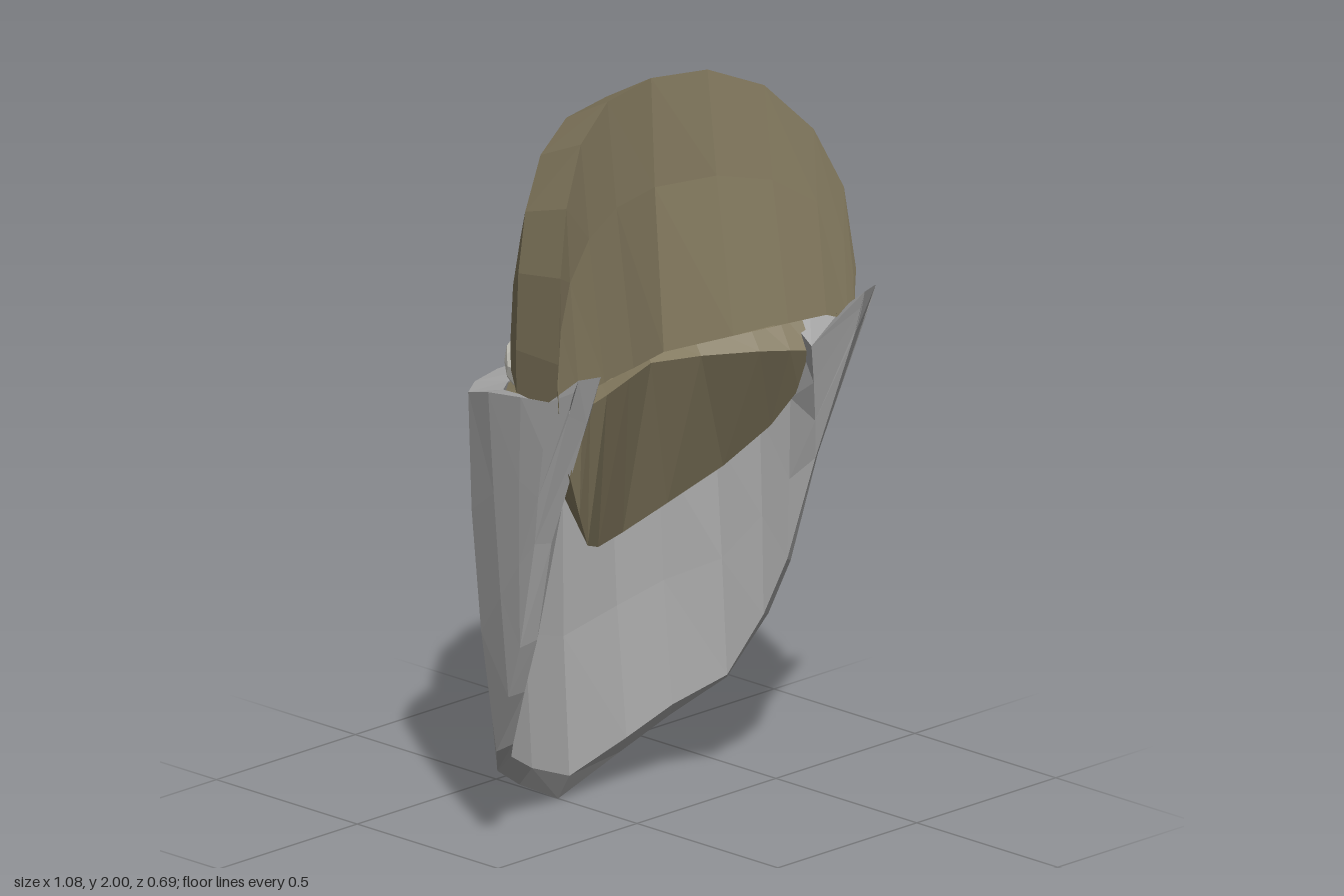
import * as THREE from 'three';

const flat = (name, color) => new THREE.MeshStandardMaterial({ name, color, flatShading: true, side: THREE.DoubleSide });

// Skin between rows of points; columns run left to right, rows run downwards.
function loft(...rows) {
  const pos = [];
  for (let i = 0; i < rows.length - 1; i++) {
    for (let j = 0; j < rows[i].length - 1; j++) {
      const a = rows[i][j], b = rows[i][j + 1], c = rows[i + 1][j + 1], d = rows[i + 1][j];
      pos.push(...a, ...d, ...c, ...a, ...c, ...b);
    }
  }
  const g = new THREE.BufferGeometry();
  g.setAttribute('position', new THREE.Float32BufferAttribute(pos, 3));
  g.computeVertexNormals();
  return g;
}

// Half a row, from the middle outwards, mirrored into a full row.
const mirror = (half) => [...half.slice(1).reverse().map(([x, y, z]) => [-x, y, z]), ...half];
const mix = (A, B, t, f = (p) => p) => A.map((a, i) => f(a.map((v, k) => v + (B[i][k] - v) * t)));

export function createModel() {
  const model = new THREE.Group();
  const brown = flat('brown hide', 0x847a5f);
  const grey = flat('grey plate', 0xaaaaaa);
  const orange = flat('orange paint', 0xcb6d31);
  const tan = flat('tan gem', 0xc9a769);
  const dark = flat('dark brown frame', 0x7a6a4c);
  const white = flat('pale eye', 0xdad8ce);
  const add = (name, geometry, material, parent = model) => {
    const mesh = new THREE.Mesh(geometry, material);
    mesh.name = name;
    parent.add(mesh);
    return mesh;
  };

  // Head: concave front, domed back
  const bend = (x) => (x / 0.535) ** 2;
  const rim = mirror([[0, 2], [0.18, 1.985], [0.33, 1.92], [0.445, 1.79], [0.51, 1.63], [0.535, 1.41], [0.53, 1.28]]
    .map(([x, y]) => [x, y, 0.05 + 0.2 * bend(x)]));
  const base = (x) => {
    const a = Math.abs(x);
    return [x, 1.28 + 0.025 * Math.min(1, a / 0.27) * (a < 0.5 ? 1 : 0),
      a < 0.27 ? 0.095 + 0.39 * a : 0.2 + 0.19 * (a - 0.27)];
  };
  const bottom = rim.map(([x]) => base(x));
  add('headFront', loft(rim, mix(rim, bottom, 0.4, ([x, y, z]) => [x, y, z - 0.005]), bottom), brown);

  // The lower edge of the dome arches over each eye
  const arch = ([x, y, z]) => {
    const near = Math.exp(-(((Math.abs(x) - 0.29) / 0.065) ** 2));
    return [x, y + 0.12 * near * THREE.MathUtils.clamp((1.45 - y) / 0.2, 0, 1), z];
  };
  const centreY = 1.2;
  // Each ring: scale towards the centre, middle depth, extra depth at the sides
  const rings = [[0.89, -0.11, 0.15], [0.7, -0.165, 0.085], [0.55, -0.2, 0.05], [0.38, -0.22, 0.027], [0, -0.235, 0]]
    .map(([k, z, side]) => rim.map(([x, y]) => arch([x * k, centreY + (y - centreY) * k, z + side * bend(x)])));
  const domeRows = [rim, ...rings];
  const dome = add('headDome', loft(...domeRows.slice().reverse()), brown);

  const domeEdge = mirror(domeRows.map((row) => row[row.length - 1]).reverse());
  add('headUnderside', loft(domeEdge.map(([x]) => base(x)), domeEdge), brown);

  // Lower body: steep chin whose narrow ledge tucks up into the head
  const chinTop = [[-0.43, 1.25, 0.23], [-0.37, 1.25, 0.2], [-0.27, 1.245, 0.16], [-0.13, 1.24, 0.1], [0, 1.24, 0.05],
    [0.15, 1.23, 0.08], [0.3, 1.22, 0.14], [0.38, 1.21, 0.17], [0.44, 1.2, 0.19]];
  const chinBottom = [[-0.49, 1.1, 0.245], [-0.44, 0.98, 0.23], [-0.36, 0.87, 0.18], [-0.18, 0.79, 0.04], [0, 0.765, -0.05],
    [0.19, 0.79, -0.08], [0.35, 0.86, -0.04], [0.43, 0.97, 0.05], [0.45, 1.08, 0.13]];
  const backEdge = mirror([[0, 1.19, -0.25], [0.15, 1.19, -0.235], [0.28, 1.2, -0.18], [0.37, 1.22, -0.1], [0.43, 1.25, 0.02]]);
  const ledge = chinTop.map(([x, , z]) => [x, 1.32, z - 0.06]);
  add('chin', loft(chinTop, chinBottom, backEdge, ledge, chinTop), brown);

  // Curved shell wrapped round the back, open to the front
  const outerTop = mirror([[0, 1.17, -0.345], [0.17, 1.175, -0.33], [0.31, 1.19, -0.27], [0.425, 1.21, -0.18],
    [0.485, 1.255, -0.05], [0.52, 1.285, 0.1], [0.53, 1.3, 0.21], [0.535, 1.385, 0.32]]);
  const outerBottom = mirror([[0, 0, -0.28], [0.18, 0.09, -0.24], [0.31, 0.17, -0.19], [0.415, 0.27, -0.09],
    [0.468, 0.45, 0.005], [0.487, 0.6, 0.065], [0.51, 0.9, 0.14], [0.53, 1.28, 0.28]]);
  const innerTop = mirror([[0, 1.185, -0.25], [0.15, 1.19, -0.24], [0.27, 1.2, -0.19], [0.37, 1.22, -0.11],
    [0.43, 1.25, 0], [0.45, 1.26, 0.1], [0.4, 1.23, 0.225], [0.475, 1.385, 0.34]]);
  const innerBottom = mirror([[0, 0.07, -0.24], [0.17, 0.14, -0.205], [0.29, 0.21, -0.16], [0.385, 0.29, -0.06],
    [0.43, 0.46, 0.025], [0.45, 0.62, 0.09], [0.475, 0.9, 0.165], [0.48, 1.25, 0.295]]);
  const bulge = (t) => ([x, y, z]) => [x * (1 + 0.01 * Math.sin(Math.PI * t)), y, z - (z < -0.1 ? 0.02 : 0) * Math.sin(Math.PI * t)];
  const between = (A, B) => [0.33, 0.67].map((t) => mix(A, B, t, bulge(t)));
  add('shell', loft(innerTop, ...between(innerTop, innerBottom), innerBottom,
    outerBottom, ...between(outerBottom, outerTop), outerTop, innerTop), grey);
  for (const [name, i] of [['shellTipRight', 0], ['shellTipLeft', outerTop.length - 1]]) {
    add(name, loft([outerTop[i], innerTop[i]], [outerBottom[i], innerBottom[i]]), grey);
  }

  // Eyes set under the arches
  for (const side of [-1, 1]) {
    const eye = add(side > 0 ? 'leftEye' : 'rightEye',
      new THREE.SphereGeometry(0.07, 8, 5).rotateX(Math.PI / 2).scale(1, 1, 0.5), white);
    eye.position.set(side * 0.302, 1.277, -0.124);
    eye.rotation.y = Math.PI - side * 0.8;
  }

  // Painted patch laid over the forehead
  const ray = new THREE.Raycaster();
  const onDome = (x, y) => {
    ray.set(new THREE.Vector3(x, y, -1), new THREE.Vector3(0, 0, 1));
    return [x, y, ray.intersectObject(dome)[0].point.z - 0.007];
  };
  const patchRows = [0, 0.25, 0.5, 0.75, 1].map((r) => Array.from({ length: 17 }, (_, i) => {
    const a = (i / 16) * Math.PI * 2;
    const wide = r * 0.157 * (1 - 0.06 * Math.cos(4 * a));
    return onDome(0.02 + wide * Math.cos(a), 1.67 + wide * Math.sin(a));
  }));
  add('patch', loft(...patchRows), orange);

  // Framed gem on the patch
  const crest = new THREE.Group();
  crest.name = 'crest';
  crest.position.set(0.025, 1.655, -0.198);
  crest.rotation.x = -1.3;
  add('gemFrame', new THREE.CylinderGeometry(0.092, 0.1, 0.02, 4).scale(0.88, 1, 1.05).translate(0, 0.008, 0), dark, crest);
  add('gem', new THREE.ConeGeometry(0.088, 0.022, 4).scale(0.88, 1, 1.05).translate(0, 0.029, 0), tan, crest);
  model.add(crest);

  return model;
}
